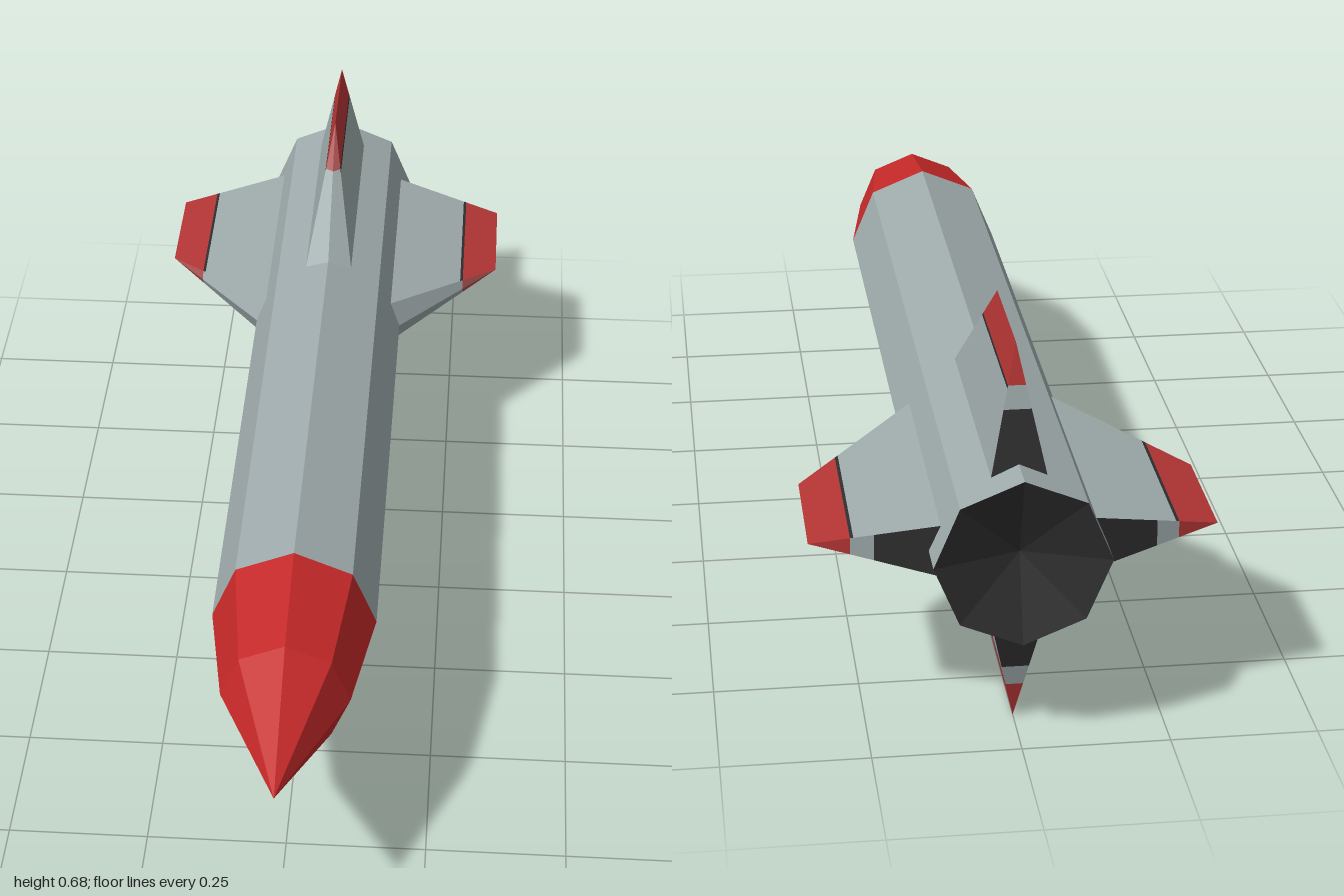
import * as THREE from 'three';

const CENTER_Y = 0.341;
const flat = (name, color) => {
  const m = new THREE.MeshStandardMaterial({ color, flatShading: true });
  m.name = name;
  return m;
};

// Eight-sided revolved part, turned so its axis runs along +z; profile is [radius, z]
function octagonal(name, profile, material) {
  const points = profile.map(([r, z]) => new THREE.Vector2(r, z));
  const geometry = new THREE.LatheGeometry(points, 8).rotateX(Math.PI / 2);
  const mesh = new THREE.Mesh(geometry, material);
  mesh.name = name;
  return mesh;
}

// Fin cross-section at height t (0 = root, 1 = tip line), with a ridged leading edge
function finSection(t) {
  const mix = THREE.MathUtils.lerp;
  const y = mix(0.128, 0.341, t);
  const w = mix(0.046, 0, t);
  const front = mix(-0.405, -0.655, t);
  const shoulder = mix(-0.438, -0.655, t);
  const rear = mix(-0.937, -0.885, t);
  return [[0, y, front], [w, y, shoulder], [w, y, rear], [-w, y, rear], [-w, y, shoulder]];
}

// Walls between two fin sections; materials are 0 = sides, 1 = trailing face, 2 = leading faces
const WALL_MATERIAL = [2, 0, 1, 0, 2];
function finGeometry(t0, t1) {
  const a = finSection(t0), b = finSection(t1);
  const positions = [];
  const geometry = new THREE.BufferGeometry();
  for (let i = 0; i < 5; i++) {
    const j = (i + 1) % 5;
    positions.push(...a[i], ...a[j], ...b[j], ...a[i], ...b[j], ...b[i]);
    geometry.addGroup(i * 6, 6, WALL_MATERIAL[i]);
  }
  geometry.setAttribute('position', new THREE.Float32BufferAttribute(positions, 3));
  geometry.computeVertexNormals();
  return geometry;
}

export function createModel() {
  const grey = flat('bodyGrey', 0x9eaaab);
  const red = flat('noseRed', 0xc42828);
  const finRed = flat('finRed', 0xb43535);
  const paleRed = flat('leadingEdgeRed', 0xa85050);
  const dark = flat('exhaustDark', 0x2e2e2e);
  const model = new THREE.Group();
  model.name = 'rocket';

  // Body, nose and recessed exhaust
  const hull = new THREE.Group();
  hull.name = 'hull';
  hull.position.y = CENTER_Y;
  hull.add(
    octagonal('body', [[0.147, -1], [0.147, 0.53]], grey),
    octagonal('nose', [[0.147, 0.53], [0.113, 0.745], [0, 1]], red),
    octagonal('exhaust', [[0, -0.95], [0.147, -1]], dark)
  );
  model.add(hull);

  // Fin bands from root to tip: name, geometry, [sides, trailing face, leading faces]
  const bands = [
    ['finRoot', finGeometry(0, 0.5), [grey, dark, grey]],
    ['finBlade', finGeometry(0.5, 0.655), [grey, grey, grey]],
    ['finSeam', finGeometry(0.655, 0.68), [dark, grey, grey]],
    ['finTip', finGeometry(0.68, 1), [finRed, finRed, paleRed]]
  ];
  for (let i = 0; i < 4; i++) {
    const fin = new THREE.Group();
    fin.name = 'fin' + (i + 1);
    for (const [name, geometry, materials] of bands) {
      const band = new THREE.Mesh(geometry, materials);
      band.name = name;
      fin.add(band);
    }
    fin.rotation.z = i * Math.PI / 2;
    hull.add(fin);
  }
  return model;
}
